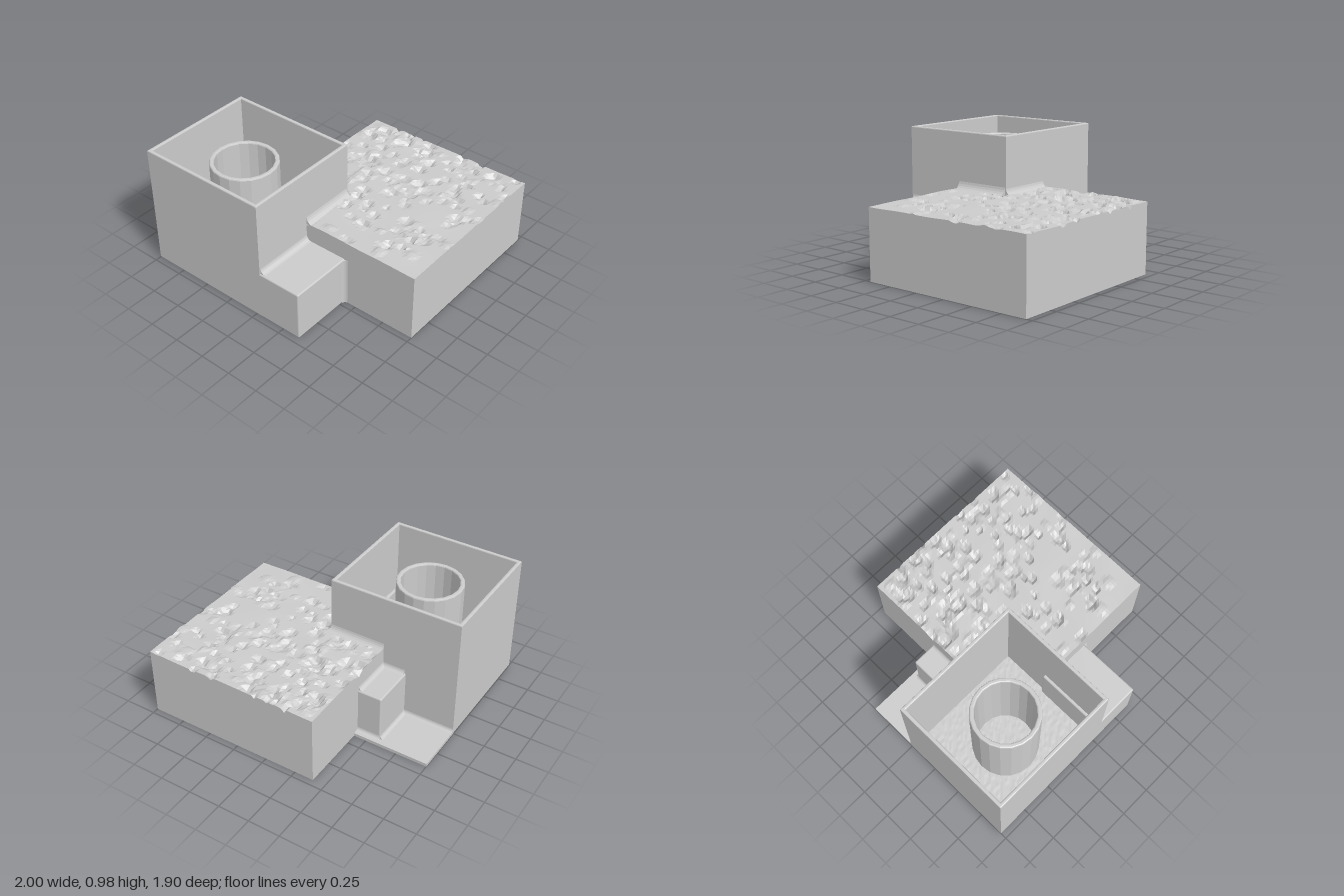
import * as THREE from 'three';
import { RoundedBoxGeometry } from 'three/addons/geometries/RoundedBoxGeometry.js';

const smooth = new THREE.MeshStandardMaterial({ color: 0xcccccc });
const faceted = new THREE.MeshStandardMaterial({ color: 0xcccccc, flatShading: true });

// Small seeded generator for the rough surfaces
let seed = 11;
const rand = () => (seed = (seed * 16807) % 2147483647) / 2147483647;

function add(group, name, geometry, material = smooth) {
  const mesh = new THREE.Mesh(geometry, material);
  mesh.name = name;
  group.add(mesh);
  return mesh;
}

// Box given by its lower and upper corners
function slab(group, name, lo, hi, radius) {
  const s = hi.map((v, i) => v - lo[i]);
  const geo = radius ? new RoundedBoxGeometry(...s, 2, radius) : new THREE.BoxGeometry(...s);
  geo.translate(...lo.map((v, i) => v + s[i] / 2));
  return add(group, name, geo);
}

// Box with a finely divided top, its height set by a rule
function roughSlab(group, name, x0, x1, z0, z1, height) {
  const cell = 0.025;
  const geo = new THREE.BoxGeometry(x1 - x0, 1, z1 - z0,
    Math.round((x1 - x0) / cell), 1, Math.round((z1 - z0) / cell));
  geo.translate((x0 + x1) / 2, 0.5, (z0 + z1) / 2);
  const p = geo.attributes.position;
  for (let i = 0; i < p.count; i++) {
    if (p.getY(i) > 0.5) p.setY(i, height(p.getX(i), p.getZ(i)));
  }
  geo.computeVertexNormals();
  return add(group, name, geo, faceted);
}

// Concave fillet running from a corner along u x v
function fillet(group, origin, u, v, length, r) {
  const shape = new THREE.Shape();
  shape.moveTo(0, 0);
  shape.lineTo(r, 0);
  shape.quadraticCurveTo(r * 0.15, r * 0.15, 0, r);
  shape.closePath();
  const geo = new THREE.ExtrudeGeometry(shape, { depth: length, bevelEnabled: false, curveSegments: 5 });
  const a = new THREE.Vector3(...u), b = new THREE.Vector3(...v);
  geo.applyMatrix4(new THREE.Matrix4().makeBasis(a, b, a.clone().cross(b)).setPosition(...origin));
  add(group, 'fillet', geo);
}

// Pits and pebbles scattered over the ground, denser towards the left
const marks = [];
for (let i = 0; i < 210; i++) {
  marks.push({
    x: -0.4 + 1.4 * Math.pow(rand(), 1.3), z: -0.95 + 1.4 * rand(),
    rx: 0.02 + 0.04 * rand(), rz: 0.02 + 0.04 * rand(),
    h: rand() < 0.75 ? -0.012 - 0.025 * rand() : 0.012,
  });
}
function groundHeight(x, z) {
  let y = 0.543 + 0.004 * Math.sin(9 * x + 5 * z) * Math.cos(8 * z - 3 * x);
  for (const m of marks) {
    const d = Math.hypot((x - m.x) / m.rx, (z - m.z) / m.rz);
    if (d < 1) y += m.h * Math.min(1, 2 * (1 - d));
  }
  return THREE.MathUtils.clamp(y, 0.505, 0.558);
}

// Rectangular ring or round ring, extruded upwards with softened edges
function ring(outer, hole, y0, y1, bevel, segments) {
  outer.holes.push(hole);
  const geo = new THREE.ExtrudeGeometry(outer, {
    depth: y1 - y0 - 2 * bevel, bevelSize: bevel, bevelThickness: bevel,
    bevelOffset: -bevel, bevelSegments: 2, curveSegments: segments,
  });
  geo.rotateX(-Math.PI / 2);
  geo.translate(0, y0 + bevel, 0);
  return geo;
}
function rect(path, x0, x1, z0, z1) {
  return path.setFromPoints([[x0, -z1], [x1, -z1], [x1, -z0], [x0, -z0]]
    .map(([x, y]) => new THREE.Vector2(x, y)));
}

export function createModel() {
  const model = new THREE.Group();
  model.name = 'walledCourtAndGround';

  // Rough ground block, wrapped around the corner of the court
  const ground = new THREE.Group();
  ground.name = 'ground';
  model.add(ground);
  roughSlab(ground, 'groundBack', -0.4, 1, -0.95, 0, groundHeight);
  roughSlab(ground, 'groundSide', 0.05, 1, 0, 0.45, groundHeight);

  // Thin base plate and the two steps
  slab(model, 'basePlate', [-1, 0, -0.41], [-0.4, 0.025, 0]);
  slab(model, 'frontStep', [0, 0, 0.4], [0.4, 0.395, 0.95], 0.012);
  slab(model, 'backStep', [-0.59, 0, -0.36], [-0.38, 0.39, 0.01], 0.012);

  // Hollow square court
  const court = new THREE.Group();
  court.name = 'court';
  model.add(court);
  add(court, 'courtWalls', ring(rect(new THREE.Shape(), -1, 0.05, -0.01, 0.95),
    rect(new THREE.Path(), -0.972, 0.022, 0.018, 0.922), 0, 0.98, 0.008, 1));
  roughSlab(court, 'courtFloor', -0.985, 0.035, 0.005, 0.935,
    () => 0.03 + (rand() < 0.5 ? 0.002 : 0));

  // Round pipe standing on the court floor
  const circle = (path, r) => path.absarc(0, 0, r, 0, Math.PI * 2, false);
  const pipe = add(court, 'pipe', ring(circle(new THREE.Shape(), 0.255),
    circle(new THREE.Path(), 0.22), 0.02, 0.88, 0.01, 10), faceted);
  pipe.position.set(-0.49, 0, 0.495);

  // Fillets where the parts meet
  const X = [1, 0, 0], Y = [0, 1, 0], Z = [0, 0, 1], nX = [-1, 0, 0], nZ = [0, 0, -1];
  const fillets = new THREE.Group();
  fillets.name = 'fillets';
  model.add(fillets);
  fillet(fillets, [0.05, 0.395, 0.45], X, Y, 0.49, 0.04);
  fillet(fillets, [0.05, 0.535, 0], X, Y, 0.45, 0.06);
  fillet(fillets, [0.05, 0.535, -0.01], Y, nZ, 0.45, 0.05);
  fillet(fillets, [0.4, 0, 0.45], Z, X, 0.39, 0.03);
  fillet(fillets, [-0.4, 0.025, -0.01], Y, nZ, 0.6, 0.025);
  fillet(fillets, [-0.4, 0.025, -0.36], Y, nZ, 0.19, 0.025);
  fillet(fillets, [-0.59, 0.025, -0.36], Y, nX, 0.35, 0.025);
  fillet(fillets, [-0.4, 0.39, -0.01], Y, nZ, 0.18, 0.03);
  fillet(fillets, [-0.4, 0.39, -0.35], Y, nX, 0.34, 0.03);

  return model;
}
